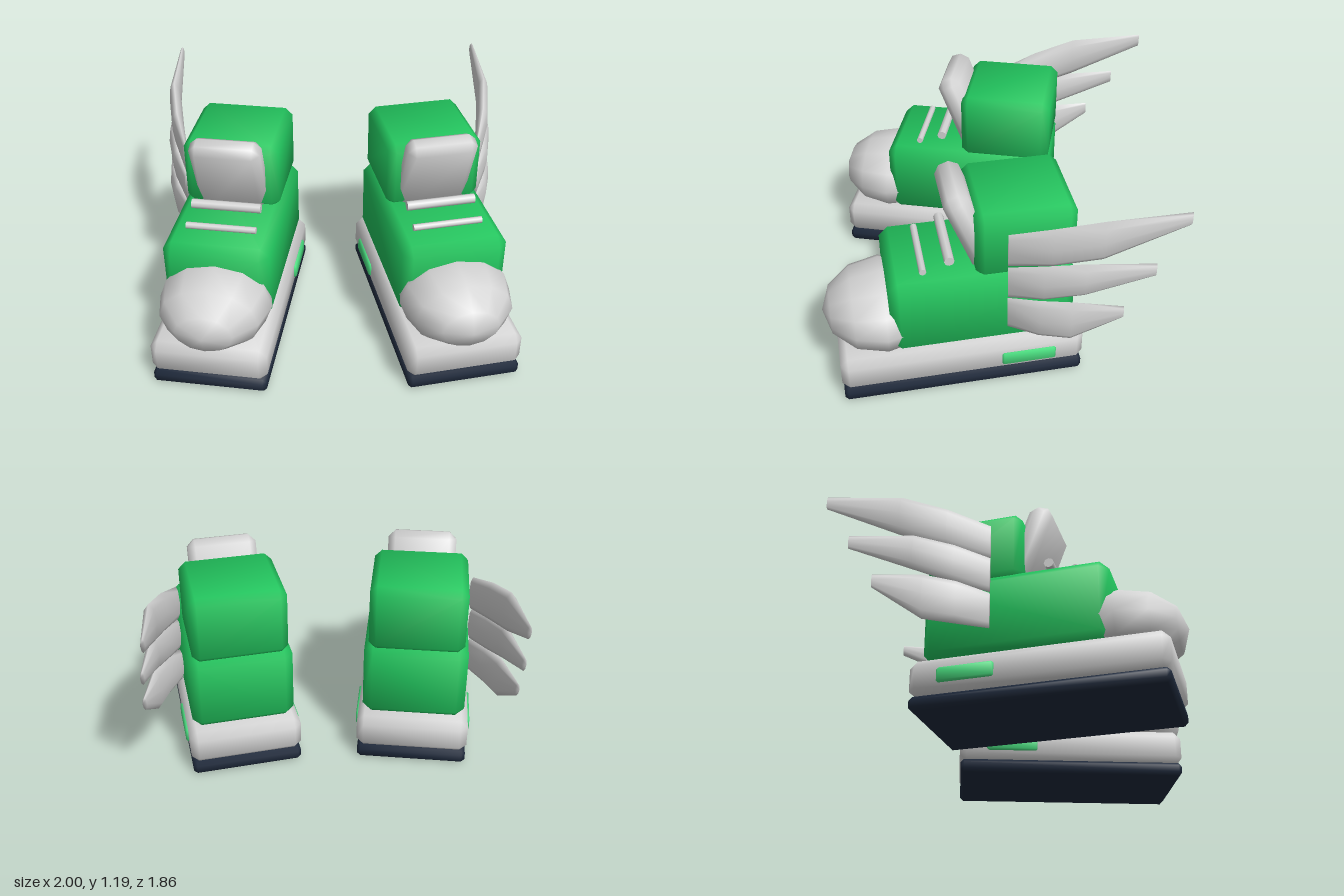
import * as THREE from 'three';
import { ConvexGeometry } from 'three/addons/geometries/ConvexGeometry.js';

const material = (name, color) => {
  const m = new THREE.MeshStandardMaterial({ color });
  m.name = name;
  return m;
};

// Box with cut edges and softly blended normals
function bevelBox(w, h, d, c) {
  const half = [w / 2, h / 2, d / 2];
  const points = [];
  for (const sx of [-1, 1]) for (const sy of [-1, 1]) for (const sz of [-1, 1]) {
    for (let axis = 0; axis < 3; axis++) {
      const p = [sx, sy, sz].map((s, i) => s * (half[i] - (i === axis ? 0 : c)));
      points.push(new THREE.Vector3(...p));
    }
  }
  const geo = new ConvexGeometry(points);
  const pos = geo.attributes.position;
  const n = new THREE.Vector3();
  for (let i = 0; i < pos.count; i++) {
    const p = [pos.getX(i), pos.getY(i), pos.getZ(i)];
    const weights = p.map((v, k) => Math.sign(v) * (half[k] - Math.abs(v) < c / 2 ? 3 : 1.1));
    n.set(...weights).normalize();
    geo.attributes.normal.setXYZ(i, n.x, n.y, n.z);
  }
  return geo;
}

// Feather lofted through lens-shaped sections: [z, y, half height, x, half thickness]
function featherGeometry(sections, side) {
  const sides = 8, positions = [], index = [];
  const tri = (a, b, c) => index.push(...(side > 0 ? [a, b, c] : [a, c, b]));
  for (const [z, y, h, x, t] of sections) {
    for (let i = 0; i < sides; i++) {
      const a = (i / sides) * Math.PI * 2;
      positions.push(side * (x + t * Math.cos(a)), y + h * Math.sin(a), z);
    }
  }
  for (let r = 0; r < sections.length - 1; r++) {
    for (let i = 0; i < sides; i++) {
      const a = r * sides + i, b = r * sides + (i + 1) % sides;
      tri(a, a + sides, b);
      tri(b, a + sides, b + sides);
    }
  }
  const last = (sections.length - 1) * sides;
  for (let i = 1; i < sides - 1; i++) {
    tri(0, i, i + 1);
    tri(last, last + i + 1, last + i);
  }
  const geo = new THREE.BufferGeometry();
  geo.setAttribute('position', new THREE.Float32BufferAttribute(positions, 3));
  geo.setIndex(index);
  geo.computeVertexNormals();
  return geo;
}

const FEATHERS = {
  upperFeather: [[-0.06, 0.9, 0.1, 0.83, 0.015], [-0.28, 0.965, 0.115, 0.89, 0.035],
    [-0.52, 1.035, 0.115, 0.925, 0.035], [-0.93, 1.155, 0.037, 0.912, 0.012]],
  middleFeather: [[-0.06, 0.7, 0.1, 0.84, 0.015], [-0.24, 0.745, 0.11, 0.9, 0.035],
    [-0.44, 0.8, 0.1, 0.94, 0.035], [-0.78, 0.875, 0.038, 0.955, 0.012]],
  lowerFeather: [[-0.06, 0.495, 0.1, 0.84, 0.015], [-0.22, 0.515, 0.12, 0.91, 0.035],
    [-0.38, 0.535, 0.125, 0.95, 0.035], [-0.635, 0.622, 0.037, 0.982, 0.012]],
};

export function createModel() {
  const green = material('shoe green', 0x22c55e);
  const lightGreen = material('light green', 0x4ade80);
  const white = material('pale grey', 0xd4d4d4);
  const navy = material('dark navy', 0x1e293b);
  const model = new THREE.Group();
  model.name = 'wingedShoes';

  const add = (parent, name, geo, mat, x, y, z) => {
    const mesh = new THREE.Mesh(geo, mat);
    mesh.name = name;
    mesh.position.set(x, y, z);
    parent.add(mesh);
    return mesh;
  };

  for (const side of [1, -1]) {
    const pair = new THREE.Group();
    pair.name = side > 0 ? 'leftShoe' : 'rightShoe';
    model.add(pair);

    // Shoe body, toes turned outwards
    const shoe = new THREE.Group();
    shoe.name = 'shoeBody';
    shoe.position.set(side * 0.58, 0, 0.22);
    shoe.rotation.y = side * 0.174;
    pair.add(shoe);

    add(shoe, 'outsole', bevelBox(0.625, 0.078, 1.3, 0.02), navy, 0, 0.039, 0);
    add(shoe, 'midsole', bevelBox(0.634, 0.2, 1.313, 0.04), white, 0, 0.175, 0);
    add(shoe, 'upper', bevelBox(0.58, 0.45, 0.975, 0.05), green, 0, 0.497, -0.113);
    add(shoe, 'ankle', bevelBox(0.53, 0.39, 0.52, 0.04), green, 0, 0.895, -0.34);

    // Rounded toe cap
    const toe = new THREE.SphereGeometry(1, 12, 6).rotateX(Math.PI / 2).scale(0.31, 0.222, 0.325);
    add(shoe, 'toeCap', toe, white, 0, 0.402, 0.395);

    // Tongue leaning forward
    const tongue = add(shoe, 'tongue', bevelBox(0.39, 0.55, 0.135, 0.04), white, 0, 0.9, -0.08);
    tongue.rotation.x = 0.36;

    // Laces
    for (const [y, z, r] of [[0.79, 0.05, 0.027], [0.74, 0.188, 0.019]]) {
      const lace = new THREE.CylinderGeometry(r, r, 0.385, 8).rotateZ(Math.PI / 2);
      add(shoe, 'lace', lace, white, 0, y, z);
    }

    // Side tabs on both faces of the midsole
    for (const s of [-1, 1]) {
      add(shoe, 'sideTab', bevelBox(0.03, 0.08, 0.295, 0.01), lightGreen, s * 0.316, 0.168, -0.35);
    }

    // Wing of three feathers on the outer face
    const wing = new THREE.Group();
    wing.name = 'wing';
    pair.add(wing);
    for (const [name, sections] of Object.entries(FEATHERS)) {
      add(wing, name, featherGeometry(sections, side), white, 0, 0, 0);
    }
  }
  return model;
}
